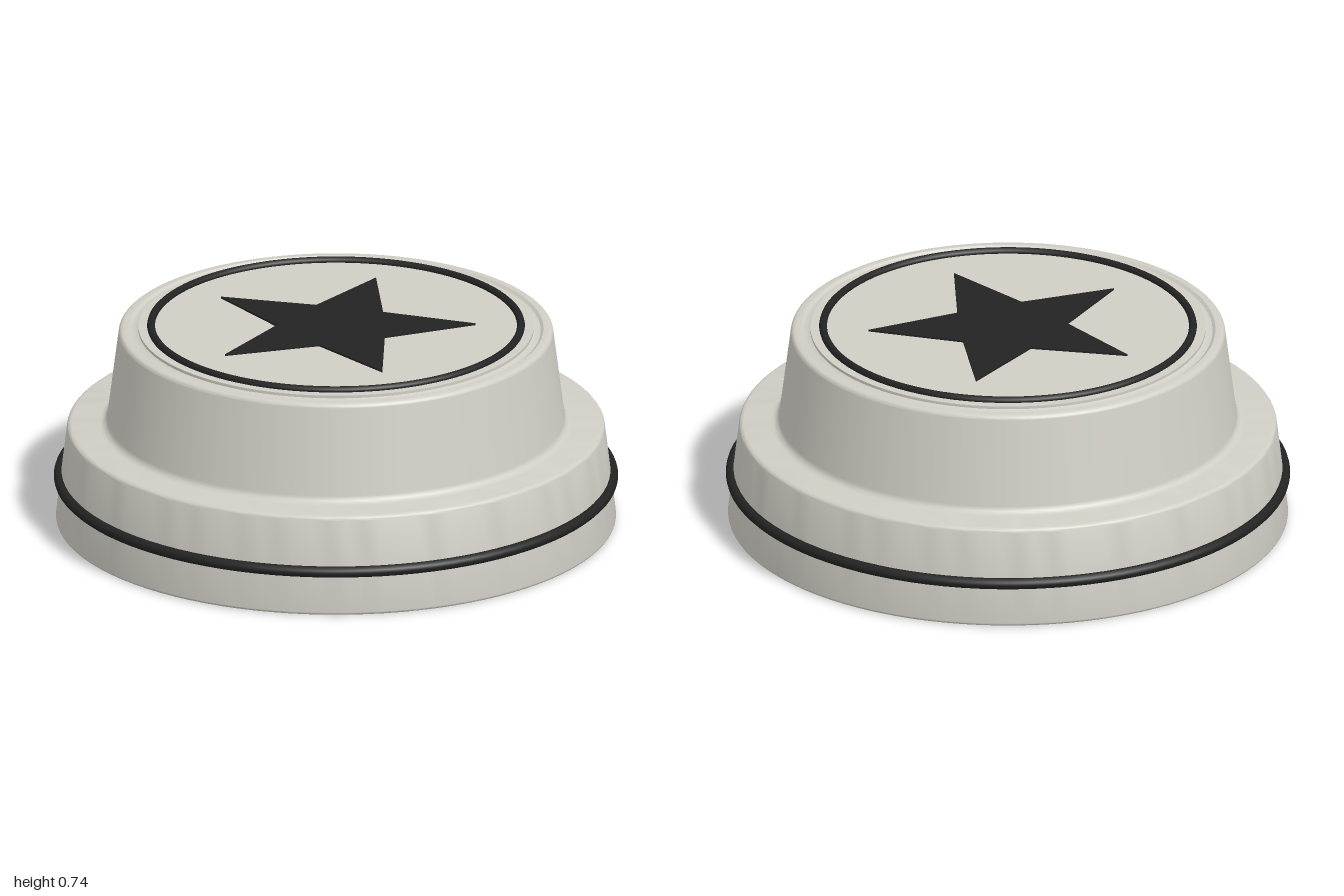
import * as THREE from 'three';
import { toCreasedNormals } from 'three/addons/utils/BufferGeometryUtils.js';

const SEGMENTS = 96;

// Points along a rounded corner, angles in degrees
function arc(cx, cy, r, from, to, steps = 5) {
  const points = [];
  for (let i = 0; i <= steps; i++) {
    const a = THREE.MathUtils.degToRad(from + ((to - from) * i) / steps);
    points.push(new THREE.Vector2(cx + r * Math.cos(a), cy + r * Math.sin(a)));
  }
  return points;
}

function lathe(points) {
  return toCreasedNormals(new THREE.LatheGeometry(points, SEGMENTS), 0.5);
}

export function createModel() {
  const model = new THREE.Group();
  model.name = 'roundCap';

  const shell = new THREE.MeshStandardMaterial({ color: 0xcfcdc4 });
  shell.name = 'warmGrey';
  const trim = new THREE.MeshStandardMaterial({ color: 0x232323 });
  trim.name = 'black';

  const add = (name, geometry, material, y = 0) => {
    const mesh = new THREE.Mesh(geometry, material);
    mesh.name = name;
    mesh.position.y = y;
    model.add(mesh);
    return mesh;
  };
  const p = (x, y) => new THREE.Vector2(x, y);

  // Stepped hollow body: cavity, skirt, shoulder, crown and grooved top
  add('body', lathe([
    p(0, 0.39), p(0.81, 0.39), p(0.81, 0),
    ...arc(0.982, 0.01, 0.01, -90, 5),
    ...arc(0.935, 0.34, 0.018, 6, 90),
    ...arc(0.838, 0.386, 0.028, 270, 187),
    ...arc(0.752, 0.697, 0.018, 7, 90),
    p(0.735, 0.715), p(0.725, 0.707), p(0.71, 0.707), p(0.70, 0.712),
    p(0.70, 0.722), p(0, 0.722),
  ]), shell);

  // Round bands on the skirt and on the top face
  const band = (name, radius, tube, y) => {
    const geometry = new THREE.TorusGeometry(radius, tube, 12, SEGMENTS);
    geometry.rotateX(Math.PI / 2);
    add(name, geometry, trim, y);
  };
  band('skirtBand', 0.98, 0.02, 0.16);
  band('topRing', 0.655, 0.014, 0.726);

  // Five-pointed star plate, one tip towards the back
  const star = new THREE.Shape();
  for (let i = 0; i < 10; i++) {
    const r = i % 2 ? 0.21 : 0.495;
    const a = Math.PI / 2 + (i * Math.PI) / 5;
    const x = r * Math.cos(a), y = r * Math.sin(a);
    if (i === 0) star.moveTo(x, y);
    else star.lineTo(x, y);
  }
  star.closePath();
  const starGeometry = new THREE.ExtrudeGeometry(star, { depth: 0.008, bevelEnabled: false });
  starGeometry.rotateX(-Math.PI / 2);
  add('starPlate', starGeometry, trim, 0.721);

  return model;
}
